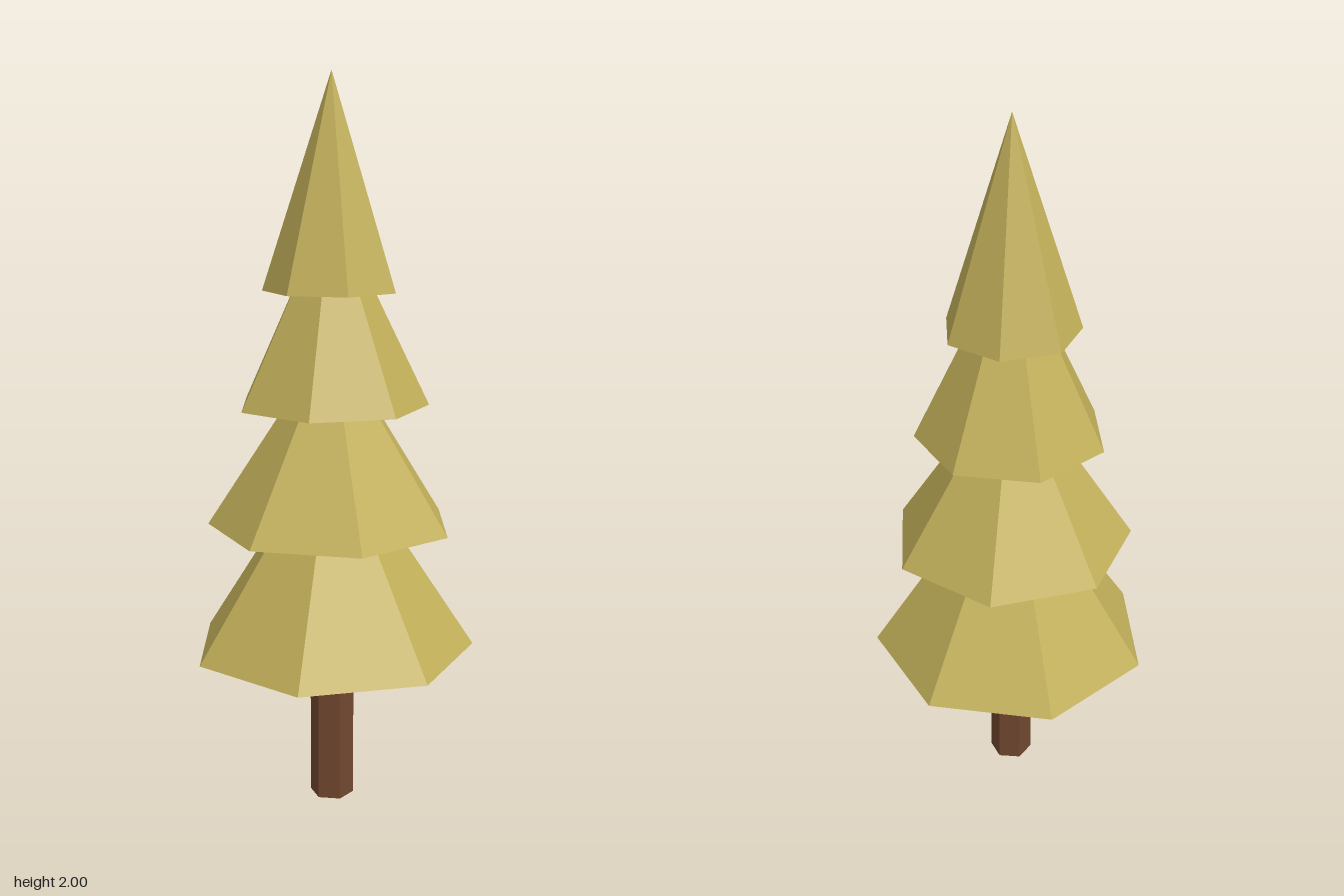
import * as THREE from 'three';

export function createModel() {
  const tree = new THREE.Group();
  tree.name = 'tree';

  const foliage = new THREE.MeshStandardMaterial({ color: 0xc2b05a, flatShading: true });
  foliage.name = 'foliage';
  const bark = new THREE.MeshStandardMaterial({ color: 0x70482f, flatShading: true });
  bark.name = 'bark';

  const axisX = -0.021; // the seven-sided tiers sit slightly off centre

  function addPart(name, geometry, material, y) {
    const mesh = new THREE.Mesh(geometry, material);
    mesh.name = name;
    mesh.position.set(axisX, y, 0);
    tree.add(mesh);
  }

  // Hexagonal trunk, with corners on the x axis
  const trunkHeight = 0.5;
  const trunk = new THREE.CylinderGeometry(0.061, 0.061, trunkHeight, 6, 1, false, Math.PI / 2);
  addPart('trunk', trunk, bark, trunkHeight / 2);

  // Overlapping foliage cones, each turned half a turn from the one below
  const tiers = [
    { radius: 0.395, base: 0.445, apex: 1.047 },
    { radius: 0.34, base: 0.795, apex: 1.318 },
    { radius: 0.263, base: 1.127, apex: 1.67 },
    { radius: 0.185, base: 1.435, apex: 2 },
  ];
  tiers.forEach(({ radius, base, apex }, i) => {
    const height = apex - base;
    const start = i % 2 === 0 ? Math.PI / 2 : -Math.PI / 2;
    const cone = new THREE.ConeGeometry(radius, height, 7, 1, false, start);
    addPart(`foliageTier${i + 1}`, cone, foliage, base + height / 2);
  });

  return tree;
}
